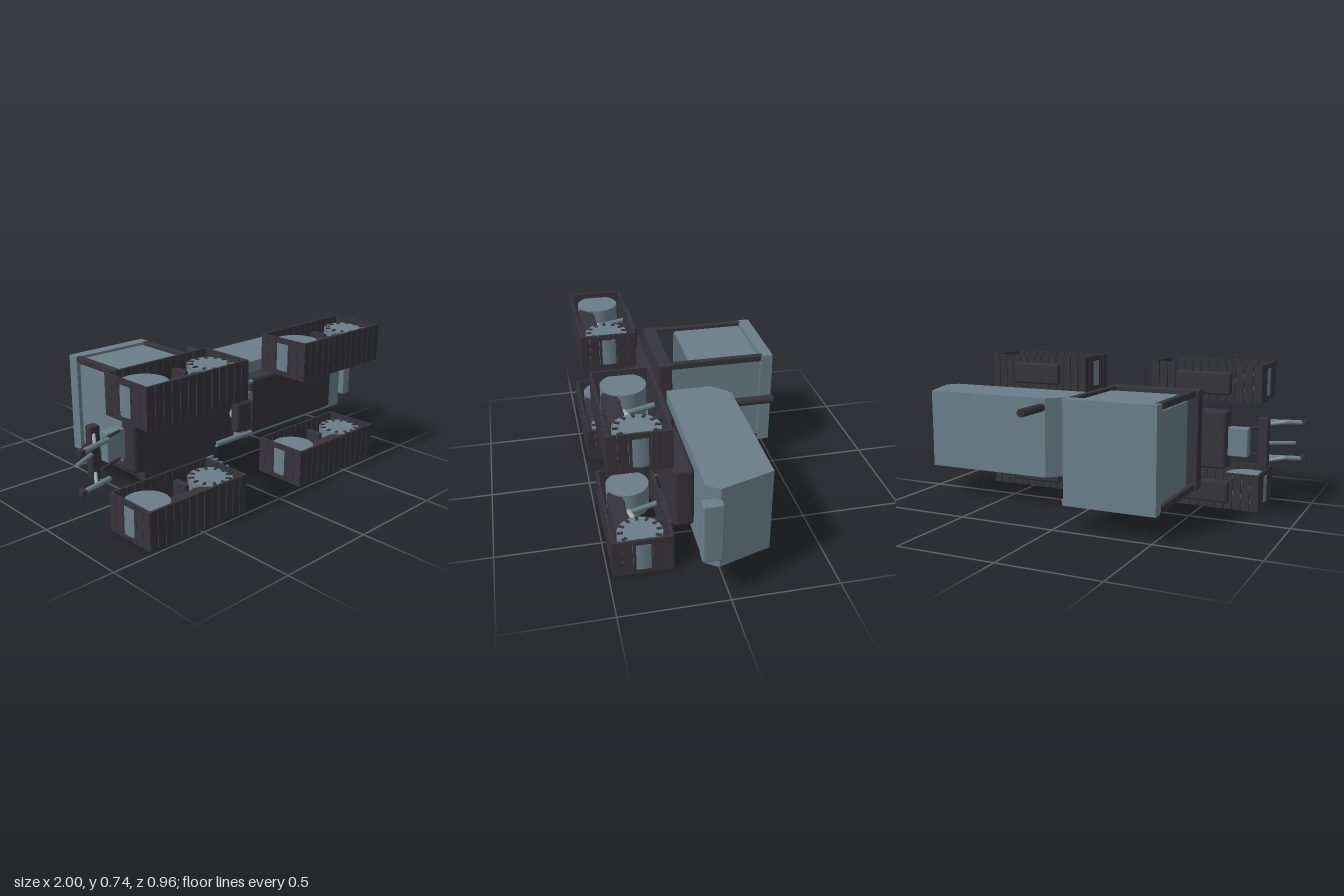
import * as THREE from 'three';
import { RoundedBoxGeometry } from 'three/addons/geometries/RoundedBoxGeometry.js';

const mat = (name, color) => {
  const m = new THREE.MeshStandardMaterial({ color });
  m.name = name;
  return m;
};

export function createModel() {
  const steel = mat('steel blue', 0x6a7f89);
  const dark = mat('charcoal', 0x36343b);
  const metal = mat('bare metal', 0xa3a5a6);

  // The tractor is built upright (x forward, y up, z across), then laid on its side.
  const body = new THREE.Group();
  body.name = 'tractor';

  const add = (parent, name, geometry, material) => {
    const mesh = new THREE.Mesh(geometry, material);
    mesh.name = name;
    parent.add(mesh);
    return mesh;
  };
  // Box given by its limits on each axis, with optional rounded edges
  const box = (parent, name, material, [x0, x1], [y0, y1], [z0, z1], r = 0) => {
    const size = [x1 - x0, y1 - y0, z1 - z0];
    const g = r ? new RoundedBoxGeometry(...size, 2, r) : new THREE.BoxGeometry(...size);
    const mesh = add(parent, name, g, material);
    mesh.position.set((x0 + x1) / 2, (y0 + y1) / 2, (z0 + z1) / 2);
    return mesh;
  };
  // Round bar between two points
  const bar = (parent, name, material, a, b, r) => {
    const p = new THREE.Vector3(...a), q = new THREE.Vector3(...b);
    const mesh = add(parent, name, new THREE.CylinderGeometry(r, r, p.distanceTo(q), 16), material);
    mesh.position.copy(p).add(q).multiplyScalar(0.5);
    mesh.quaternion.setFromUnitVectors(new THREE.Vector3(0, 1, 0), q.sub(p).normalize());
    return mesh;
  };

  // Engine hood
  const profile = new THREE.Shape([
    [0.118, -0.107], [0.925, -0.107], [0.965, -0.05], [0.885, 0.197], [0.2, 0.197], [0.118, 0.115],
  ].map(([x, y]) => new THREE.Vector2(x, y)));
  const hood = add(body, 'hood', new THREE.ExtrudeGeometry(profile, { depth: 0.405, bevelEnabled: false }), steel);
  hood.position.z = -0.205;
  box(body, 'nosePlate', steel, [0.94, 0.998], [-0.13, -0.04], [-0.145, 0.145], 0.008);
  bar(body, 'exhaust', dark, [0.22, 0.17, 0.153], [0.22, 0.4, 0.153], 0.021);

  // Perforated grille on one hood side
  for (let i = 0; i < 12; i++) {
    for (let j = 0; j < 7; j++) {
      const x = 0.57 + i * 0.0245, y = -0.02 + j * 0.0215;
      box(body, 'grilleHole', dark, [x, x + 0.019], [y, y + 0.016], [-0.209, -0.203]);
    }
  }

  // Articulated chassis
  box(body, 'rearFrame', dark, [-0.645, -0.01], [-0.2, -0.105], [-0.147, 0.147], 0.018);
  box(body, 'frontFrame', dark, [0.1, 0.735], [-0.2, -0.105], [-0.147, 0.147], 0.018);
  box(body, 'jointBlock', dark, [-0.05, 0.14], [-0.17, -0.11], [-0.09, 0.09]);
  box(body, 'jointPlate', steel, [-0.02, 0.11], [-0.2, -0.17], [-0.08, 0.08]);
  box(body, 'jointPlateTop', steel, [-0.04, 0], [-0.11, -0.065], [-0.04, 0.04]);
  bar(body, 'jointPin', metal, [-0.02, -0.24, 0], [-0.02, -0.18, 0], 0.03);
  box(body, 'jointCap', dark, [-0.072, 0.032], [-0.28, -0.228], [-0.076, 0.076], 0.015);
  for (const s of [-1, 1]) {
    bar(body, 'steeringCylinder', steel, [-0.14, -0.2, s * 0.135], [0.02, -0.2, s * 0.135], 0.015);
    bar(body, 'steeringRod', steel, [0.02, -0.2, s * 0.135], [0.105, -0.2, s * 0.135], 0.01);
  }

  // Cab: floor, pillars, panes and roof
  const cab = new THREE.Group();
  cab.name = 'cab';
  body.add(cab);
  box(cab, 'cabFloor', dark, [-0.52, -0.042], [-0.113, -0.045], [-0.25, 0.25], 0.005);
  box(cab, 'roof', steel, [-0.51, -0.05], [0.42, 0.482], [-0.25, 0.25]);
  box(cab, 'seatPedestal', dark, [-0.39, -0.235], [-0.05, 0.06], [-0.08, 0.08]);
  for (const s of [-1, 1]) {
    for (const x of [-0.507, -0.083]) {
      box(cab, 'pillar', dark, [x, x + 0.03], [-0.047, 0.43], [s * 0.235 - 0.016, s * 0.235 + 0.016], 0.004);
    }
    box(cab, 'sidePane', steel, [-0.46, -0.1], [0.05, 0.41], [s * 0.235 - 0.005, s * 0.235 + 0.005]);
  }
  box(cab, 'frontPane', steel, [-0.073, -0.063], [-0.045, 0.42], [-0.22, 0.22]);
  box(cab, 'rearPane', steel, [-0.497, -0.487], [0.05, 0.41], [-0.21, 0.21]);

  // Mirror, handrail and entry steps on one side
  bar(cab, 'mirrorArm', steel, [-0.1, 0.395, -0.255], [0, 0.395, -0.255], 0.01);
  box(cab, 'mirror', steel, [-0.025, -0.005], [0.38, 0.405], [-0.272, -0.24]);
  bar(cab, 'handrail', metal, [-0.24, -0.165, -0.277], [-0.185, 0.08, -0.277], 0.006);
  for (const [i, y] of [-0.17, -0.21, -0.255, -0.305].entries()) {
    box(cab, 'step', steel, [-0.21, -0.13 - i * 0.01], [y - 0.006, y + 0.006], [-0.288, -0.205]);
  }

  // Rear linkage
  const hitch = new THREE.Group();
  hitch.name = 'hitch';
  body.add(hitch);
  box(hitch, 'hitchBlock', steel, [-0.755, -0.655], [-0.152, -0.1], [-0.072, 0.072], 0.006);
  box(hitch, 'hitchCrossbar', dark, [-0.848, -0.798], [-0.165, -0.12], [-0.125, 0.128], 0.008);
  bar(hitch, 'topLink', steel, [-0.82, -0.145, 0], [-0.96, -0.215, 0], 0.01);
  for (const s of [-1, 1]) {
    bar(hitch, 'lowerLink', steel, [-0.82, -0.25, s * 0.09], [-0.98, -0.287, s * 0.09], 0.012);
    box(hitch, 'linkEnd', dark, [-1, -0.972], [-0.305, -0.275], [s * 0.09 - 0.014, s * 0.09 + 0.014], 0.004);
    bar(hitch, 'liftRod', metal, [-0.83, -0.16, s * 0.09], [-0.9, -0.265, s * 0.09], 0.008);
    bar(hitch, 'liftArm', dark, [-0.82, -0.195, s * 0.065], [-0.64, -0.13, s * 0.065], 0.007);
  }

  // One track unit, centred on its own x and z
  const trackUnit = (cx, cz) => {
    const t = new THREE.Group();
    t.name = 'trackUnit';
    t.position.set(cx, 0, cz);
    body.add(t);
    const half = 0.0935, top = -0.2, bottom = -0.48, hx = 0.29, skin = 0.012;
    // Shoes along the top, bottom and both ends
    const n = 13, px = (2 * hx) / n, m = 6, py = (top - bottom) / m;
    for (let i = 0; i < n; i++) {
      const x = [-hx + i * px + 0.002, -hx + (i + 1) * px - 0.002];
      box(t, 'trackShoe', dark, x, [top - skin, top], [-half, half]);
      box(t, 'trackShoe', dark, x, [bottom, bottom + skin], [-half, half]);
    }
    for (let i = 0; i < m; i++) {
      const y = [bottom + i * py + 0.001, bottom + (i + 1) * py - 0.001];
      box(t, 'trackShoe', dark, [-hx, -hx + skin], y, [-half, half]);
      box(t, 'trackShoe', dark, [hx - skin, hx], y, [-half, half]);
    }
    // Idler, toothed sprocket and rollers
    bar(t, 'idler', steel, [-0.19, -0.338, -0.067], [-0.19, -0.338, 0.067], 0.106).geometry =
      new THREE.CylinderGeometry(0.106, 0.106, 0.134, 40);
    bar(t, 'sprocket', steel, [0.19, -0.338, -0.067], [0.19, -0.338, 0.067], 0.106).geometry =
      new THREE.CylinderGeometry(0.106, 0.106, 0.134, 40);
    for (let i = 0; i < 12; i++) {
      const a = (i / 12) * Math.PI * 2;
      const tooth = add(t, 'sprocketTooth', new THREE.BoxGeometry(0.026, 0.014, 0.142), dark);
      tooth.position.set(0.19 + 0.09 * Math.cos(a), -0.338 + 0.09 * Math.sin(a), 0);
      tooth.rotation.z = a;
    }
    for (let i = -2; i <= 2; i++) {
      bar(t, 'roller', dark, [i * 0.055, -0.41, -0.06], [i * 0.055, -0.41, 0.06], 0.04);
    }
    // Suspension and mounting pad
    box(t, 'mountingPad', dark, [-0.14, 0.14], [-0.212, -0.168], [-0.058, 0.055], 0.012);
    box(t, 'mountingColumn', dark, [0.07, 0.1], [-0.3, -0.2], [-0.04, 0.04]);
    bar(t, 'suspensionStrut', steel, [-0.09, -0.21, 0], [-0.04, -0.355, 0], 0.013);
    bar(t, 'tensionCylinder', metal, [-0.055, -0.355, 0], [0.09, -0.318, 0], 0.013);
    bar(t, 'tensionRod', metal, [0.08, -0.32, 0], [0.185, -0.296, 0], 0.008);
  };
  for (const x of [-0.5, 0.46]) for (const z of [-0.275, 0.275]) trackUnit(x, z);

  // Lay the tractor on its side with the tracks facing the front
  body.rotation.x = -Math.PI / 2;
  body.position.y = 0.37;
  const model = new THREE.Group();
  model.name = 'trackedTractor';
  model.add(body);
  return model;
}
